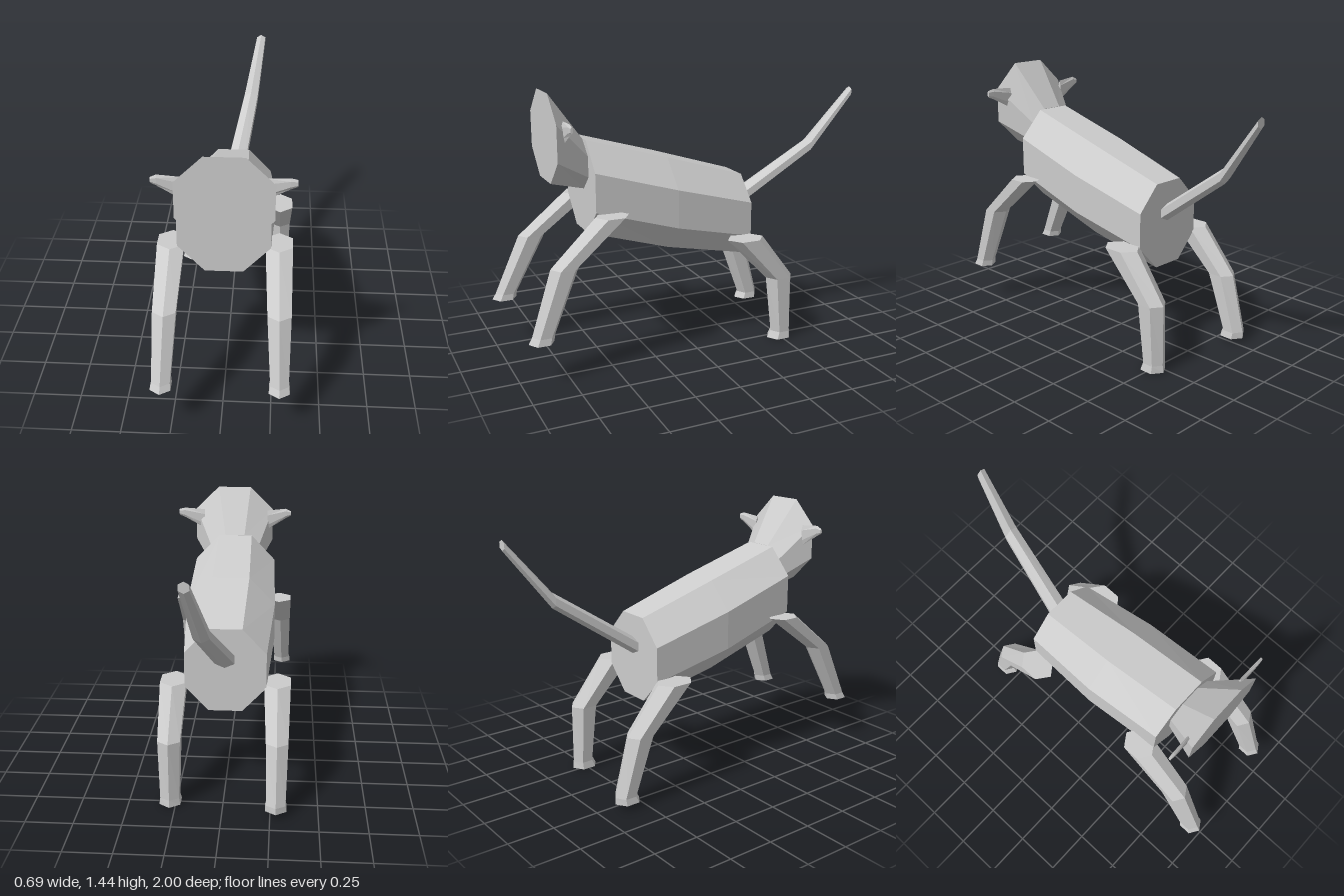
import * as THREE from 'three';

// Half-extent normalised polygon: reaches exactly +-1 along u and v.
function polygon(sides, turn) {
  const pts = [];
  for (let i = 0; i < sides; i++) {
    const a = turn + (i / sides) * Math.PI * 2;
    pts.push([Math.cos(a), Math.sin(a)]);
  }
  const mu = Math.max(...pts.map((p) => Math.abs(p[0])));
  const mv = Math.max(...pts.map((p) => Math.abs(p[1])));
  return pts.map(([u, v]) => [u / mu, v / mv]);
}

// Capped loft through parallel rings; each section is [cx, cy, cz, halfU, halfV].
// Ring plane axes (u, v): normal x -> (y, z), normal y -> (z, x), normal z -> (x, y).
function loft(normal, shape, sections) {
  const n = { x: 0, y: 1, z: 2 }[normal];
  const u = (n + 1) % 3, v = (n + 2) % 3;
  const rings = sections.map((s) => shape.map(([pu, pv]) => {
    const p = [s[0], s[1], s[2]];
    p[u] += pu * s[3];
    p[v] += pv * s[4];
    return p;
  }));
  const flip = sections[sections.length - 1][n] < sections[0][n];
  const out = [];
  const tri = (a, b, c) => (flip ? out.push(...a, ...c, ...b) : out.push(...a, ...b, ...c));
  const count = shape.length;
  for (let r = 0; r < rings.length - 1; r++) {
    for (let i = 0; i < count; i++) {
      const j = (i + 1) % count;
      const a = rings[r][i], b = rings[r][j], c = rings[r + 1][j], d = rings[r + 1][i];
      tri(a, b, c);
      tri(a, c, d);
    }
  }
  const first = rings[0], last = rings[rings.length - 1];
  for (let i = 1; i < count - 1; i++) {
    tri(first[0], first[i + 1], first[i]);
    tri(last[0], last[i], last[i + 1]);
  }
  const g = new THREE.BufferGeometry();
  g.setAttribute('position', new THREE.Float32BufferAttribute(out, 3));
  g.computeVertexNormals();
  return g;
}

export function createModel() {
  const model = new THREE.Group();
  model.name = 'animal';
  const grey = new THREE.MeshStandardMaterial({ color: 0xcccccc, flatShading: true });
  grey.name = 'plain grey';

  const octagon = polygon(8, Math.PI / 8);
  const hexPointU = polygon(6, 0);
  const hexPointV = polygon(6, Math.PI / 6);

  const add = (name, geometry) => {
    const mesh = new THREE.Mesh(geometry, grey);
    mesh.name = name;
    model.add(mesh);
  };

  // Sloping octagonal torso
  add('body', loft('z', octagon, [
    [-0.002, 0.693, -0.34, 0.215, 0.229],
    [-0.004, 0.81, 0.11, 0.246, 0.25],
    [-0.004, 0.943, 0.56, 0.233, 0.247],
  ]));

  // Flared head with a flat face
  add('head', loft('z', octagon, [
    [0, 1.06, 0.565, 0.138, 0.13],
    [0.012, 1.213, 0.755, 0.233, 0.228],
  ]));

  // Thin tapering ears
  add('leftEar', loft('x', hexPointU, [
    [0.19, 1.255, 0.706, 0.058, 0.008],
    [0.31, 1.291, 0.71, 0.029, 0.008],
    [0.345, 1.294, 0.71, 0.018, 0.006],
  ]));
  add('rightEar', loft('x', hexPointU, [
    [-0.19, 1.252, 0.706, 0.058, 0.008],
    [-0.3, 1.292, 0.71, 0.029, 0.008],
    [-0.33, 1.293, 0.71, 0.014, 0.006],
  ]));

  // Bent hexagonal tail
  add('tail', loft('z', hexPointV, [
    [0.002, 0.755, -0.34, 0.052, 0.047],
    [0.08, 1.05, -0.77, 0.04, 0.042],
    [0.131, 1.348, -1.0, 0.025, 0.028],
  ]));

  // Hexagonal legs: hip, knee, ankle, flared foot
  const legs = {
    frontLeftLeg: [
      [0.27, 0.83, 0.49, 0.09, 0.068],
      [0.28, 0.595, 0.75, 0.075, 0.059],
      [0.29, 0.255, 0.876, 0.06, 0.046],
      [0.29, 0.22, 0.888, 0.067, 0.052],
    ],
    frontRightLeg: [
      [-0.272, 0.83, 0.49, 0.09, 0.068],
      [-0.282, 0.61, 0.765, 0.075, 0.058],
      [-0.293, 0.29, 0.92, 0.06, 0.046],
      [-0.295, 0.257, 0.932, 0.067, 0.052],
    ],
    backLeftLeg: [
      [0.275, 0.612, -0.272, 0.106, 0.07],
      [0.28, 0.365, -0.485, 0.08, 0.059],
      [0.28, 0.04, -0.506, 0.06, 0.05],
      [0.28, 0, -0.498, 0.073, 0.056],
    ],
    backRightLeg: [
      [-0.275, 0.612, -0.272, 0.106, 0.07],
      [-0.28, 0.375, -0.495, 0.08, 0.058],
      [-0.28, 0.065, -0.592, 0.062, 0.05],
      [-0.28, 0.03, -0.583, 0.073, 0.056],
    ],
  };
  for (const [name, sections] of Object.entries(legs)) add(name, loft('y', hexPointU, sections));

  return model;
}
